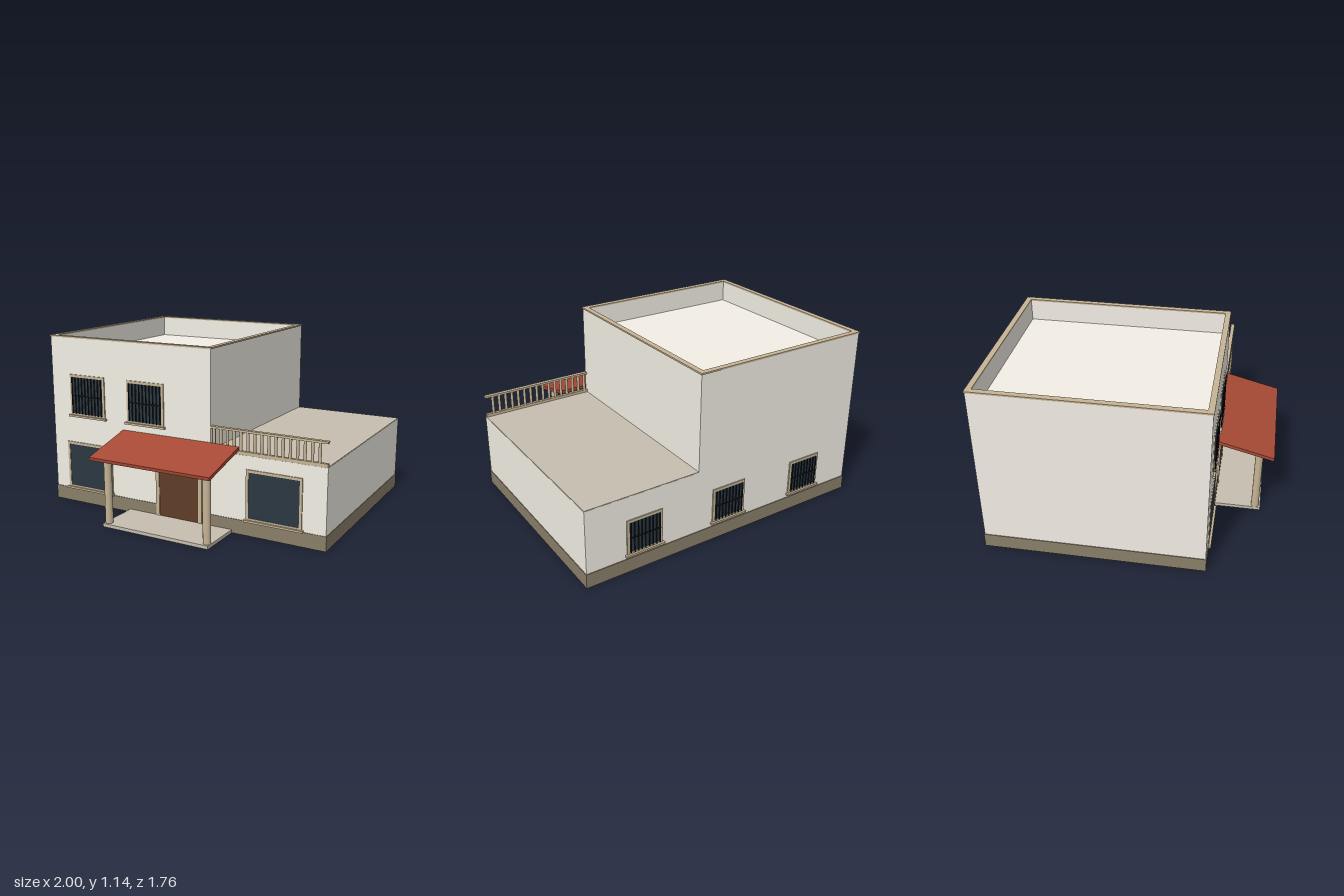
import * as THREE from 'three';

const mat = (color) => new THREE.MeshStandardMaterial({ color });
const points = (list) => list.map((p) => new THREE.Vector2(...p));

export function createModel() {
  const house = new THREE.Group();
  house.name = 'house';
  const wall = mat(0xf3efe6), plinthMat = mat(0x897e69), trim = mat(0xc6b495), roofMat = mat(0xc6beaf);
  const glass = mat(0x2b3742), iron = mat(0x15191d), wood = mat(0x5e3c27), tile = mat(0xa84a36);
  const FRONT = 0.518, BACK = -0.861;

  // Box given by its lower and upper corner
  function box(name, material, [x0, y0, z0], [x1, y1, z1], parent = house) {
    const mesh = new THREE.Mesh(new THREE.BoxGeometry(x1 - x0, y1 - y0, z1 - z0), material);
    mesh.position.set((x0 + x1) / 2, (y0 + y1) / 2, (z0 + z1) / 2);
    mesh.name = name;
    parent.add(mesh);
  }

  // Rectangular ring of wall thickness t, made of four boxes from y0 to y1
  function ring(name, material, [x0, z0, x1, z1], t, y0, y1) {
    const g = new THREE.Group();
    g.name = name;
    box('frontSide', material, [x0, y0, z1 - t], [x1, y1, z1], g);
    box('backSide', material, [x0, y0, z0], [x1, y1, z0 + t], g);
    box('rightSide', material, [x0, y0, z0 + t], [x0 + t, y1, z1 - t], g);
    box('leftSide', material, [x1 - t, y0, z0 + t], [x1, y1, z1 - t], g);
    house.add(g);
  }

  // Upright round post standing on y0
  function post(name, sides, r, x, y0, y1, z) {
    const mesh = new THREE.Mesh(new THREE.CylinderGeometry(r, r, y1 - y0, sides), trim);
    mesh.position.set(x, (y0 + y1) / 2, z);
    mesh.name = name;
    house.add(mesh);
  }

  // Storeys, plinth, terrace floor and roof
  box('groundFloor', wall, [-0.996, 0, BACK], [0.996, 0.509, FRONT]);
  box('plinth', plinthMat, [-1, 0.002, BACK - 0.005], [1, 0.095, FRONT + 0.004]);
  box('terraceFloor', roofMat, [0.23, 0.505, BACK + 0.001], [0.994, 0.513, FRONT - 0.001]);
  box('upperFloor', wall, [-0.996, 0.509, BACK], [0.23, 0.995, FRONT]);
  ring('parapet', wall, [-0.996, BACK, 0.23, FRONT], 0.03, 0.995, 1.133);
  ring('parapetCap', trim, [-1, BACK - 0.005, 0.235, FRONT + 0.004], 0.036, 1.133, 1.143);

  // Window: frame, glass, sill and an optional iron grille, facing local +z
  function windowUnit(name, x, y, z, w, h, bars, back = false) {
    const g = new THREE.Group();
    g.name = name;
    const t = 0.017, a = w / 2, b = h / 2;
    for (const s of [-1, 1]) {
      const fx = s * (a - t / 2), fy = s * (b - t / 2);
      box('frameSide', trim, [fx - t / 2, -b, -0.01], [fx + t / 2, b, 0.007], g);
      box('frameRail', trim, [-a + t, fy - t / 2, -0.01], [a - t, fy + t / 2, 0.007], g);
    }
    box('glass', glass, [-a + t, -b + t, -0.01], [a - t, b - t, 0.004], g);
    box('sill', trim, [-a - 0.011, -b - 0.007, -0.01], [a + 0.011, -b + 0.006, 0.02], g);
    if (bars) {
      const r = 0.003, span = w - 2 * t - 0.01;
      for (let i = 0; i < bars; i++) {
        const bx = -span / 2 + (i * span) / (bars - 1);
        box('bar', iron, [bx - r, -b + t, 0.011], [bx + r, b - t, 0.017], g);
      }
      box('crossBar', iron, [-a + t, -r, 0.0115], [a - t, r, 0.0165], g);
    }
    g.position.set(x, y, z);
    if (back) g.rotation.y = Math.PI;
    house.add(g);
  }
  for (const x of [-0.701, 0.66]) windowUnit('lowerWindow', x, 0.263, FRONT, 0.368, 0.325, 0);
  for (const x of [-0.704, -0.246]) windowUnit('upperWindow', x, 0.75, FRONT, 0.28, 0.28, 10);
  for (const x of [-0.613, 0, 0.609]) windowUnit('backWindow', x, 0.238, BACK, 0.243, 0.235, 9, true);

  // Front door
  for (const x of [-0.158, 0.156]) {
    box('doorJamb', trim, [x - 0.013, 0.02, FRONT - 0.01], [x + 0.013, 0.376, FRONT + 0.01]);
  }
  box('doorLintel', trim, [-0.171, 0.376, FRONT - 0.01], [0.169, 0.4, FRONT + 0.01]);
  box('door', wood, [-0.145, 0.02, FRONT - 0.01], [0.143, 0.376, FRONT + 0.006]);

  // Porch: slab, round columns and sloping canopy
  box('porchSlab', roofMat, [-0.38, 0, FRONT], [0.38, 0.022, 0.82]);
  for (const x of [-0.355, 0.355]) post('porchColumn', 16, 0.025, x, 0.022, 0.447, 0.785);
  const slope = new THREE.Shape(points([[0.518, 0.535], [0.876, 0.444], [0.88, 0.465], [0.518, 0.558]]));
  const canopyGeo = new THREE.ExtrudeGeometry(slope, { depth: 0.85, bevelEnabled: false });
  canopyGeo.rotateY(-Math.PI / 2).translate(0.425, 0, 0);
  const canopy = new THREE.Mesh(canopyGeo, tile);
  canopy.name = 'porchCanopy';
  house.add(canopy);

  // Terrace balustrade
  box('bottomRail', trim, [0.23, 0.511, 0.497], [0.993, 0.532, 0.519]);
  box('topRail', trim, [0.23, 0.65, 0.495], [0.993, 0.664, 0.522]);
  for (let i = 0; i < 16; i++) post('baluster', 8, 0.01, 0.25 + i * 0.046, 0.531, 0.651, 0.508);
  return house;
}
